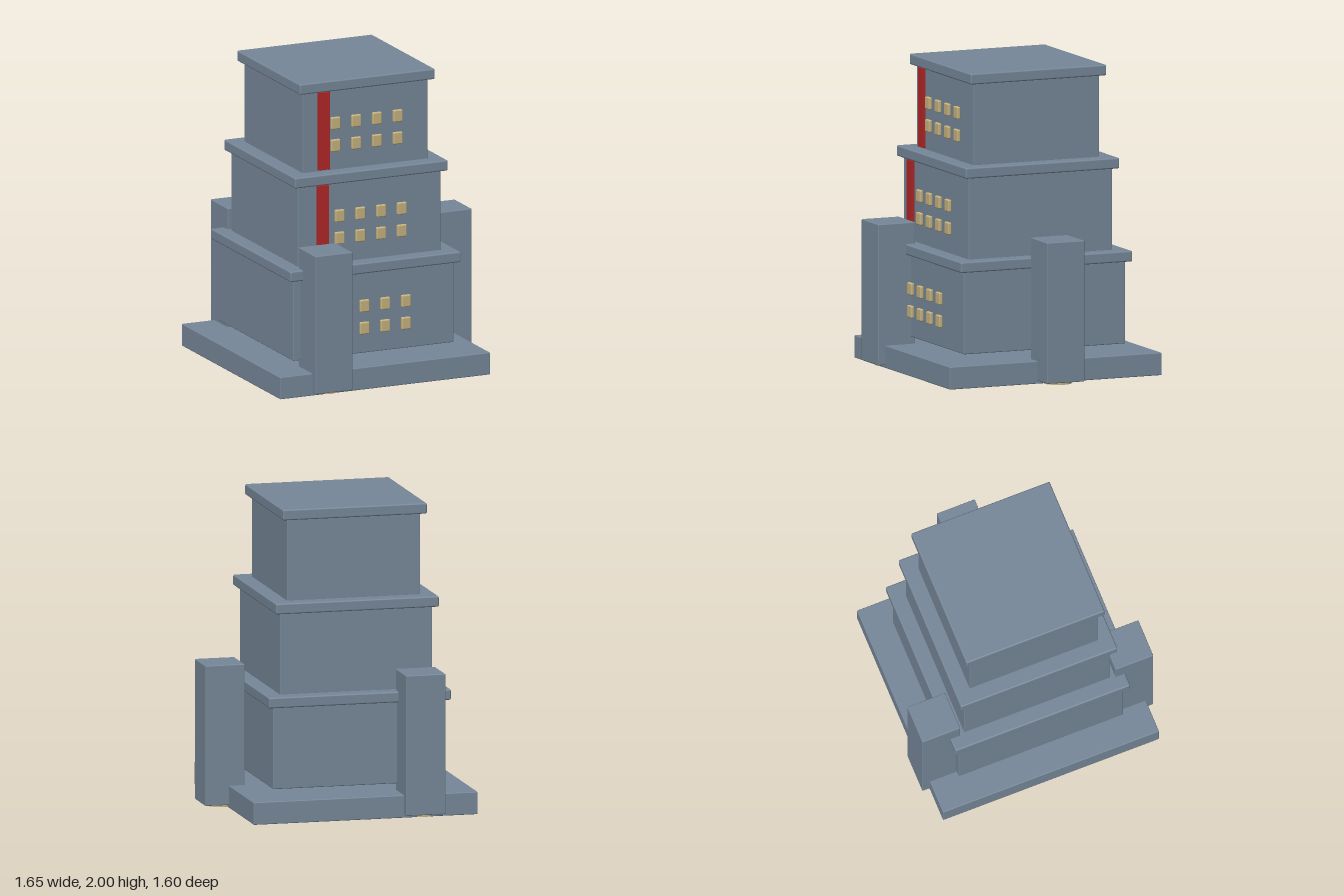
import * as THREE from 'three';
import { RoundedBoxGeometry } from 'three/addons/geometries/RoundedBoxGeometry.js';

const stone = new THREE.MeshStandardMaterial({ name: 'slate stone', color: 0x778899 });
const gold = new THREE.MeshStandardMaterial({ name: 'pale gold', color: 0xc8b480 });
const red = new THREE.MeshStandardMaterial({ name: 'banner red', color: 0xb22626 });

// Box with finely softened edges, placed by its bottom centre
function block(parent, name, material, [w, h, d], [x, y, z], radius = 0.006) {
  const mesh = new THREE.Mesh(new RoundedBoxGeometry(w, h, d, 2, radius), material);
  mesh.name = name;
  mesh.position.set(x, y + h / 2, z);
  parent.add(mesh);
  return mesh;
}

export function createModel() {
  const model = new THREE.Group();
  model.name = 'tieredTower';
  const cx = -0.08; // tower axis

  block(model, 'base', stone, [1.49, 0.147, 1.495], [cx, 0.002, 0]);

  // Three shrinking storeys, each with a cornice, windows and a banner
  for (let i = 0; i < 3; i++) {
    const storey = new THREE.Group();
    storey.name = `storey${i + 1}`;
    model.add(storey);
    const y = 0.195 + i * 0.6;
    const width = 1.138 - i * 0.126;
    const front = width / 2;

    block(storey, 'walls', stone, [width, 0.535, width], [cx, y, 0]);
    block(storey, 'cornice', stone, [width + 0.072, 0.07, width + 0.072], [cx, y + 0.535, 0], 0.01);

    for (let row = 0; row < 2; row++) {
      for (let col = 0; col < 4; col++) {
        block(storey, 'window', gold, [0.066, 0.08, 0.025],
          [-0.3 + col * 0.147, y + 0.13 + row * 0.148, front + 0.018], 0.008);
      }
    }

    block(storey, 'banner', red, [0.08, 0.515, 0.021],
      [-0.46 + i * 0.0375, y + 0.02, front + 0.027], 0.002);
  }

  // Three pillars evenly spaced around the tower, each on a round foot
  for (let i = 0; i < 3; i++) {
    const angle = (i * Math.PI * 2) / 3;
    const x = cx + 0.772 * Math.cos(angle);
    const z = 0.772 * Math.sin(angle);
    block(model, 'pillar', stone, [0.262, 0.917, 0.262], [x, 0.022, z]);

    const foot = new THREE.Mesh(new THREE.CylinderGeometry(0.09, 0.09, 0.026, 32), gold);
    foot.name = 'pillarFoot';
    foot.position.set(x, 0.016, z);
    model.add(foot);
  }

  return model;
}
